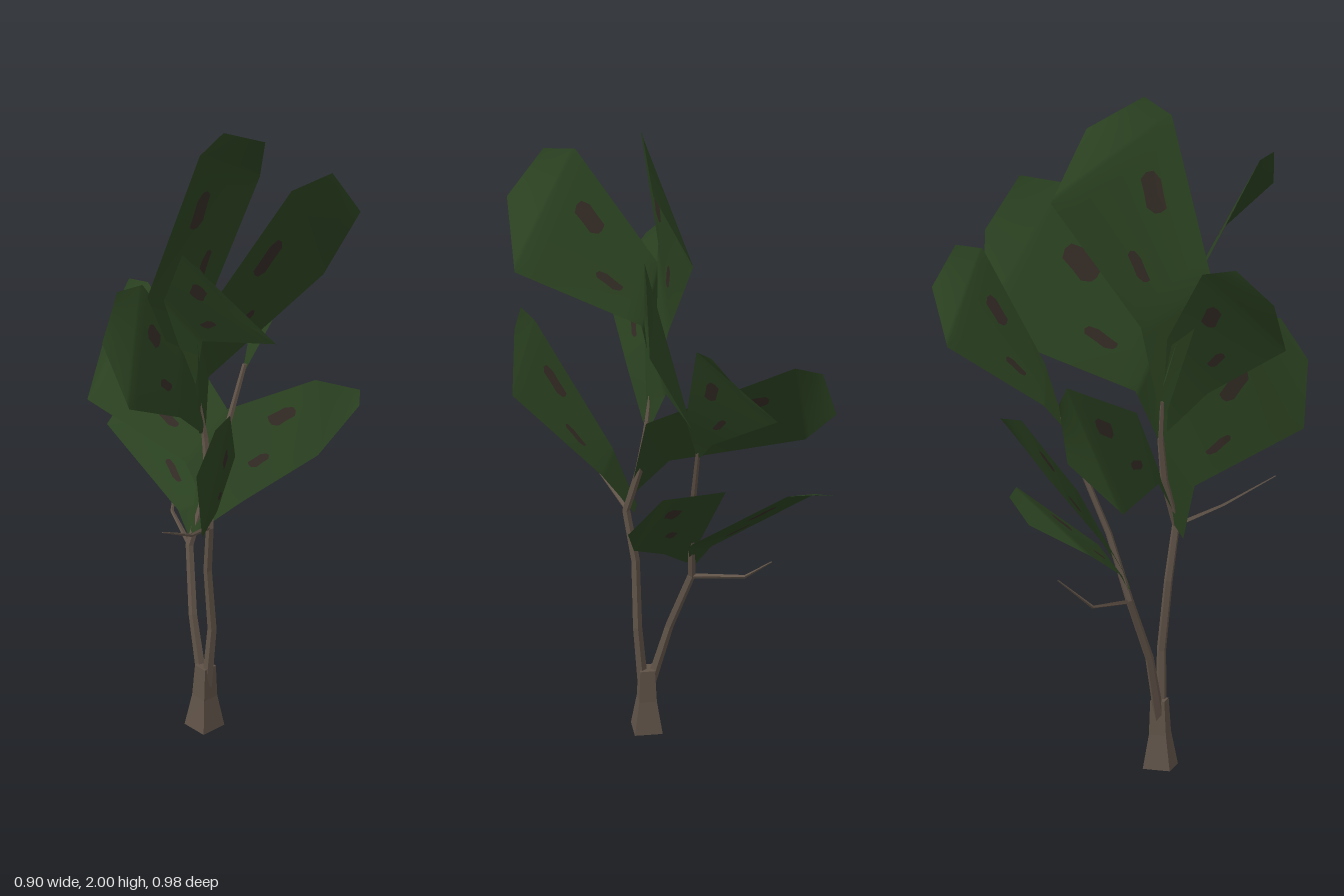
import * as THREE from 'three';

const V = (p) => new THREE.Vector3(...p);

const bark = new THREE.MeshStandardMaterial({ color: 0x5f5247 });
bark.name = 'bark brown';
const green = new THREE.MeshStandardMaterial({ color: 0x2a4120, side: THREE.DoubleSide });
green.name = 'leaf green';
const spot = new THREE.MeshStandardMaterial({ color: 0x322a24, side: THREE.DoubleSide });
spot.name = 'blemish brown';

// Named mesh from points and triangle indices, smooth or faceted
function makeMesh(points, index, material, name, faceted = false) {
  let geometry = new THREE.BufferGeometry().setFromPoints(points);
  geometry.setIndex(index);
  if (faceted) geometry = geometry.toNonIndexed();
  geometry.computeVertexNormals();
  const mesh = new THREE.Mesh(geometry, material);
  mesh.name = name;
  return mesh;
}

// Tapering limb lofted through [x, y, z, radius] stations
function limb(name, stations, sides = 5) {
  const centres = stations.map(([x, y, z]) => V([x, y, z]));
  const up = new THREE.Vector3(0, 1, 0);
  const points = [], index = [];
  stations.forEach((s, i) => {
    const a = centres[Math.max(0, i - 1)], b = centres[Math.min(centres.length - 1, i + 1)];
    const tangent = s[1] === 0 ? up : b.clone().sub(a).normalize();
    const q = new THREE.Quaternion().setFromUnitVectors(up, tangent);
    for (let k = 0; k < sides; k++) {
      const t = ((k + 0.5) / sides) * Math.PI * 2;
      points.push(new THREE.Vector3(Math.sin(t) * s[3], 0, Math.cos(t) * s[3]).applyQuaternion(q).add(centres[i]));
    }
  });
  for (let i = 0; i < stations.length - 1; i++) {
    for (let k = 0; k < sides; k++) {
      const a = i * sides + k, b = i * sides + ((k + 1) % sides);
      index.push(a, b, b + sides, a, b + sides, a + sides);
    }
  }
  const last = (stations.length - 1) * sides;
  for (let k = 1; k < sides - 1; k++) {
    index.push(0, k + 1, k, last, last + k, last + k + 1);
  }
  return makeMesh(points, index, bark, name, true);
}

// Point on the blade between two cross-rows: s across, t along
const onBlade = (a, b, s, t) => a[0].clone().lerp(a[1], s).lerp(b[0].clone().lerp(b[1], s), t);

// Irregular blemish following the blade surface
function blemish(rowA, rowB, s0, t0, rs, rt, lift) {
  const n = 10, points = [], index = [];
  const place = (s, t) => {
    const p = onBlade(rowA, rowB, s, t);
    const across = onBlade(rowA, rowB, s + 0.05, t).sub(p);
    const along = onBlade(rowA, rowB, s, t + 0.05).sub(p);
    points.push(p.addScaledVector(across.cross(along).normalize(), lift));
  };
  place(s0, t0);
  for (let k = 0; k < n; k++) {
    const a = (k / n) * Math.PI * 2, r = 1 + 0.15 * Math.sin(k * 2.4);
    place(s0 + Math.sin(a) * rs * r, t0 + Math.cos(a) * rt * r);
    index.push(0, k + 1, ((k + 1) % n) + 1);
  }
  return makeMesh(points, index, spot, 'leafBlemish');
}

// Leaf: rows of [left, right] edge points from stalk to tip, gridded smoothly
function leaf(name, data) {
  const rows = data.map((row) => row.map(V));
  const n = 8, points = [], index = [];
  for (let j = 0; j <= (rows.length - 1) * n; j++) {
    const i = Math.min(rows.length - 2, Math.floor(j / n));
    for (let k = 0; k <= n; k++) points.push(onBlade(rows[i], rows[i + 1], k / n, j / n - i));
    if (j === 0) continue;
    for (let k = 0; k < n; k++) {
      const b = j * (n + 1) + k, a = b - n - 1;
      index.push(a, a + 1, b + 1, a, b + 1, b);
    }
  }
  const group = new THREE.Group();
  group.name = name;
  group.add(makeMesh(points, index, green, 'leafBlade'));
  for (const lift of [-0.003, 0.003]) {
    group.add(blemish(rows[1], rows[2], 0.3, 0.66, 0.09, 0.14, lift));
    group.add(blemish(rows[1], rows[2], 0.68, 0.33, 0.055, 0.12, lift));
  }
  return group;
}

export function createModel() {
  const tree = new THREE.Group();
  tree.name = 'smallTree';

  // Flared square trunk, two main branches and two bare twigs
  tree.add(
    limb('trunk', [[0.077, 0, 0.135, 0.057], [0.077, 0.1, 0.134, 0.036], [0.078, 0.2, 0.132, 0.03]], 4),
    limb('leftBranch', [
      [0.088, 0.14, 0.135, 0.016], [0.105, 0.34, 0.13, 0.014], [0.108, 0.55, 0.15, 0.013], [0.133, 0.71, 0.165, 0.012],
      [0.1, 0.85, 0.14, 0.012], [0.08, 0.98, 0.135, 0.01], [0.065, 1.1, 0.145, 0.006],
    ]),
    limb('rightBranch', [
      [0.07, 0.14, 0.135, 0.016], [0.015, 0.34, 0.122, 0.013], [-0.045, 0.53, 0.08, 0.012],
      [-0.033, 0.72, 0.015, 0.01], [-0.032, 0.88, -0.055, 0.009], [-0.035, 1.06, -0.125, 0.007],
    ]),
    limb('leftTwig', [[0.13, 0.71, 0.165, 0.008], [0.19, 0.765, 0.29, 0.005], [0.225, 0.855, 0.435, 0.002]], 4),
    limb('rightTwig', [[-0.04, 0.525, 0.08, 0.008], [-0.19, 0.548, 0.015, 0.005], [-0.255, 0.64, -0.07, 0.002]], 4),
  );

  const leaves = {
    upperLeftLeaf: [
      [[0.045, 1.17, 0.16], [0.055, 1.15, 0.15]], [[0.03, 1.47, 0.25], [0.09, 1.32, 0.155]],
      [[0.25, 1.79, 0.38], [0.45, 1.5, 0.2]], [[0.34, 1.79, 0.395], [0.45, 1.66, 0.36]],
    ],
    topLeaf: [
      [[0.07, 1.06, 0.155], [0.07, 1.06, 0.135]], [[0.02, 1.5, 0.305], [0.02, 1.33, 0.095]],
      [[0.09, 1.955, 0.165], [-0.015, 1.69, -0.165]], [[0.098, 2.0, 0.08], [0.09, 1.89, -0.09]],
    ],
    upperBackLeaf: [
      [[0.075, 1.0, 0.155], [0.075, 0.98, 0.13]], [[0.08, 1.37, 0.165], [0.03, 1.135, 0.075]],
      [[0.125, 1.71, -0.16], [0.02, 1.28, -0.38]], [[0.14, 1.715, -0.305], [0.145, 1.54, -0.41]],
    ],
    frontLeaf: [
      [[0.08, 1.03, 0.14], [0.085, 1.0, 0.15]], [[0.03, 1.3, 0.17], [0.115, 1.12, 0.265]],
      [[-0.017, 1.52, 0.29], [0.145, 1.26, 0.49]], [[-0.015, 1.54, 0.39], [0.03, 1.43, 0.49]],
    ],
    backRightLeaf: [
      [[-0.03, 1.04, -0.12], [-0.04, 1.03, -0.12]], [[0.01, 1.2, -0.19], [-0.07, 1.1, -0.17]],
      [[0.005, 1.53, -0.375], [-0.225, 1.3, -0.41]], [[-0.03, 1.545, -0.445], [-0.115, 1.44, -0.49]],
    ],
    lowerLeftLeaf: [
      [[0.1, 0.72, 0.17], [0.105, 0.68, 0.195]], [[0.18, 0.95, 0.11], [0.2, 0.81, 0.2]],
      [[0.375, 1.27, 0.31], [0.42, 0.94, 0.46]], [[0.405, 1.27, 0.395], [0.412, 1.15, 0.475]],
    ],
    middleRightLeaf: [
      [[0.12, 0.78, 0.155], [0.115, 0.76, 0.16]], [[0.09, 1.05, 0.06], [0.01, 0.87, 0.15]],
      [[-0.33, 1.245, -0.02], [-0.385, 0.9, 0.165]], [[-0.41, 1.22, -0.02], [-0.455, 1.06, 0.02]],
    ],
    lowerRightLeaf: [
      [[-0.04, 0.57, 0.08], [-0.045, 0.55, 0.08]], [[-0.02, 0.68, -0.02], [-0.1, 0.62, 0.075]],
      [[-0.285, 0.92, -0.185], [-0.4, 0.77, 0.075]], [[-0.37, 0.915, -0.18], [-0.44, 0.86, -0.1]],
    ],
    lowerBackLeaf: [
      [[-0.04, 0.58, 0.08], [-0.03, 0.57, 0.08]], [[-0.125, 0.87, -0.05], [0.05, 0.67, -0.035]],
      [[0.09, 0.995, -0.285], [0.165, 0.8, -0.225]], [[0.18, 0.965, -0.375], [0.2, 0.93, -0.355]],
    ],
  };
  for (const [name, rows] of Object.entries(leaves)) tree.add(leaf(name, rows));
  return tree;
}
